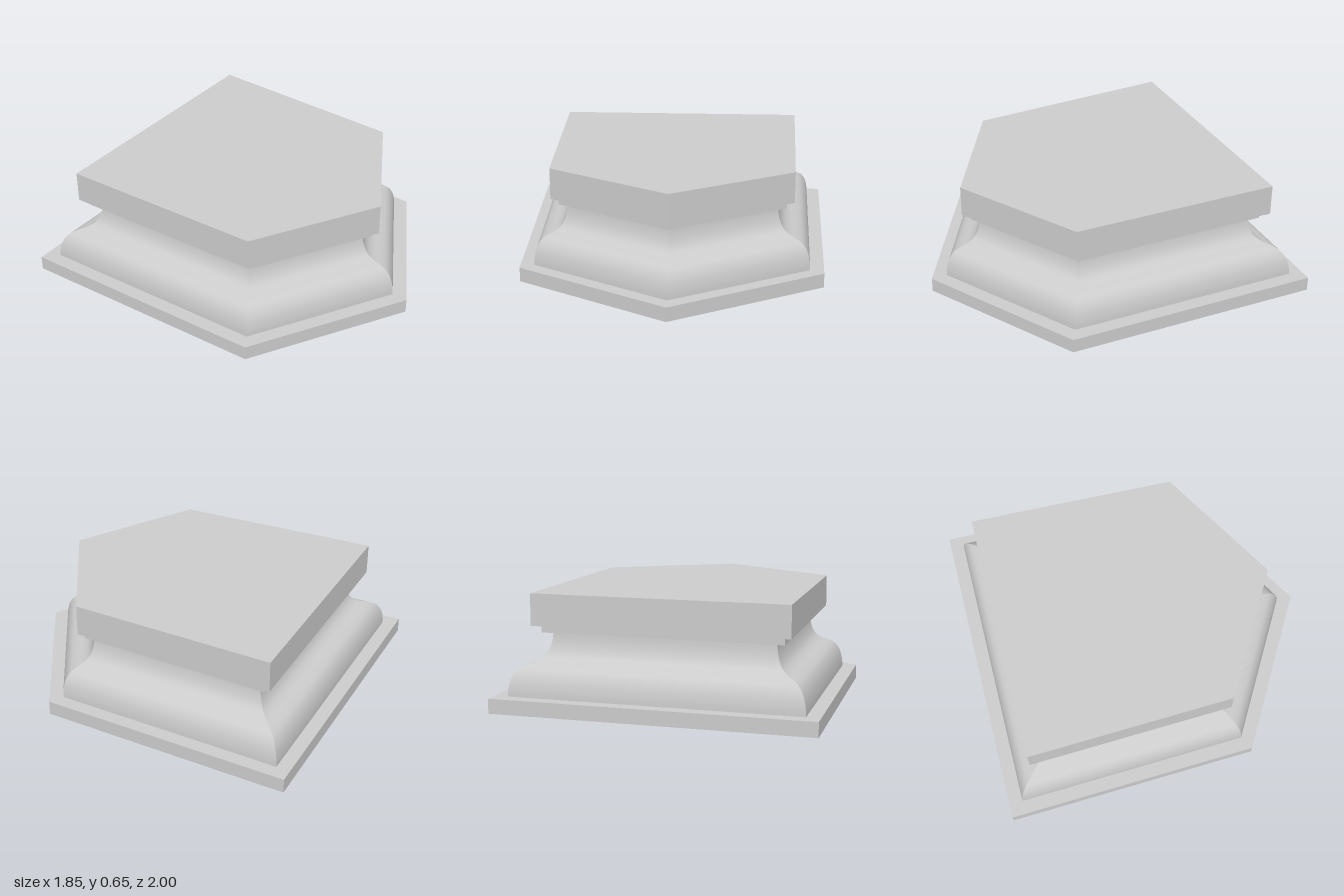
import * as THREE from 'three';

// Five-sided plan (x, z), counter-clockwise seen from above
const PLAN = [[0, 1], [0.925 - 0.05, 0.49], [0.925, -1], [-0.925, -1], [-0.875, 0.49]]
  .map(([x, z]) => new THREE.Vector2(x, z));

const edgeNormal = (i) => {
  const d = PLAN[(i + 1) % 5].clone().sub(PLAN[i % 5]).normalize();
  return new THREE.Vector2(-d.y, d.x);
};

// Plan moved inwards by the same distance on every side, with mitred corners
function insetPlan(inset) {
  return PLAN.map((p, i) => {
    const a = edgeNormal(i + 4), b = edgeNormal(i);
    const k = inset / (1 + a.dot(b));
    return p.clone().addScaledVector(a.add(b), -k);
  });
}

// Flat slab between two heights
function slab(inset, y0, y1) {
  const shape = new THREE.Shape(insetPlan(inset).map((p) => new THREE.Vector2(p.x, -p.y)));
  const geo = new THREE.ExtrudeGeometry(shape, { depth: y1 - y0, bevelEnabled: false });
  return geo.rotateX(-Math.PI / 2).translate(0, y0, 0);
}

// Profile (inset, y) swept round the plan: smooth along the curve, sharp at the corners
function moulding(profile) {
  const rings = profile.map((p) => insetPlan(p.x));
  const pos = [], index = [];
  for (let side = 0; side < 5; side++) {
    const start = pos.length / 3;
    rings.forEach((ring, j) => {
      for (const p of [ring[side], ring[(side + 1) % 5]]) pos.push(p.x, profile[j].y, p.y);
      if (j === 0) return;
      const a = start + 2 * (j - 1);
      index.push(a, a + 1, a + 3, a, a + 3, a + 2);
    });
  }
  const geo = new THREE.BufferGeometry();
  geo.setAttribute('position', new THREE.Float32BufferAttribute(pos, 3));
  geo.setIndex(index);
  geo.computeVertexNormals();
  return geo;
}

export function createModel() {
  const group = new THREE.Group();
  const material = new THREE.MeshStandardMaterial({ color: 0xcccccc });
  const add = (name, geo) => {
    const mesh = new THREE.Mesh(geo, material);
    mesh.name = name;
    group.add(mesh);
  };

  // Rounded foot flowing into a hollow neck
  const curve = new THREE.SplineCurve([
    [0.08, 0.085], [0.083, 0.13], [0.096, 0.185], [0.122, 0.23], [0.16, 0.256],
    [0.205, 0.275], [0.238, 0.302], [0.258, 0.34], [0.269, 0.385], [0.273, 0.43],
  ].map(([d, y]) => new THREE.Vector2(d, y)));

  add('plinth', slab(0, 0, 0.085));
  add('moulding', moulding(curve.getPoints(32)));
  add('fillet', slab(0.223, 0.43, 0.472));
  add('topSlab', slab(0.18, 0.472, 0.655));
  return group;
}
